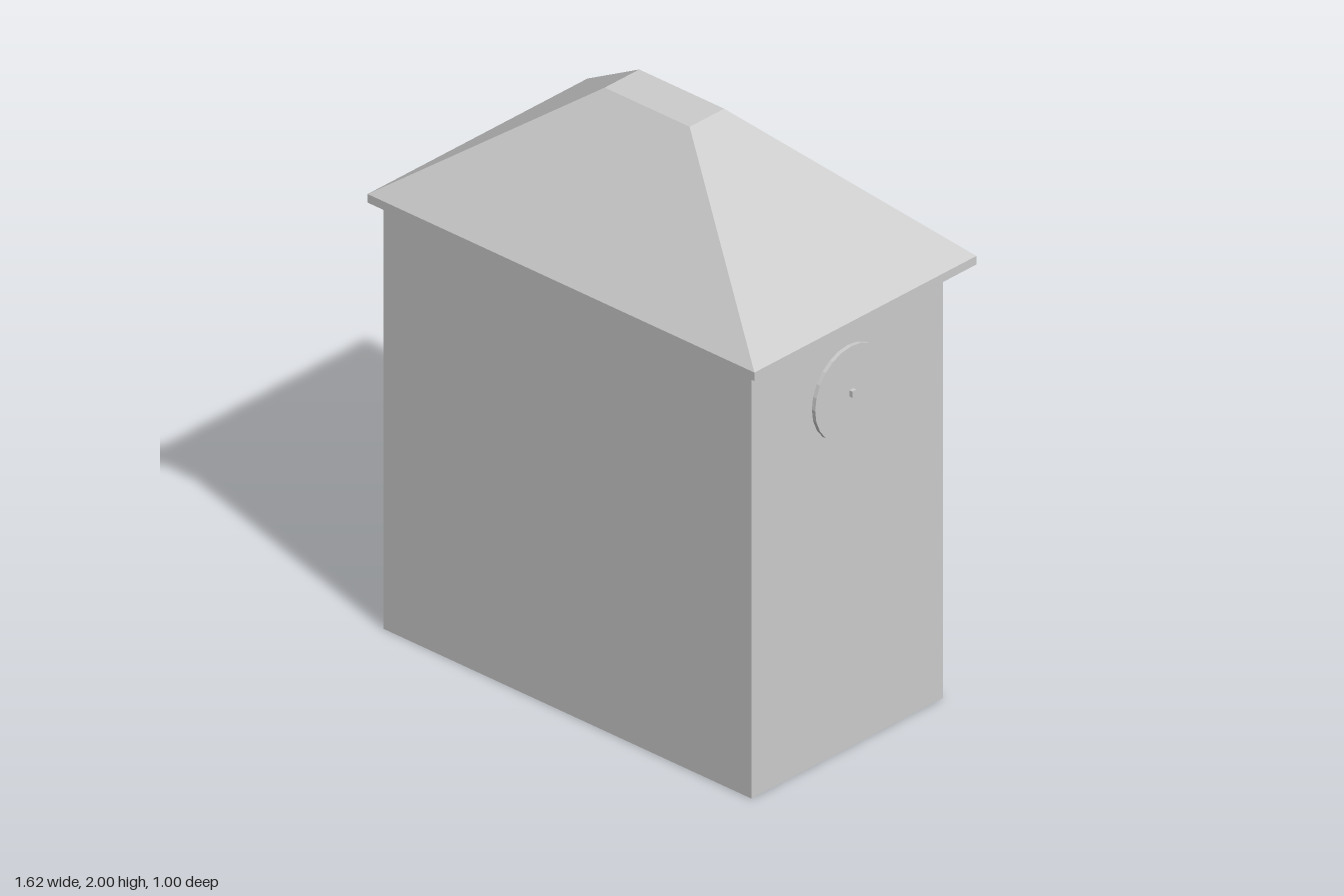
import * as THREE from 'three';

const material = new THREE.MeshStandardMaterial({ color: 0xcccccc, flatShading: true });

function add(parent, name, geometry, x = 0, y = 0, z = 0) {
  const mesh = new THREE.Mesh(geometry, material);
  mesh.name = name;
  mesh.position.set(x, y, z);
  parent.add(mesh);
  return mesh;
}

// Closed solid from rings of [x, z] points, counter-clockwise seen from above
function loft(rings) {
  const pos = [];
  const tri = (a, b, c) => {
    const area = new THREE.Triangle(a, b, c).getArea();
    if (area > 1e-7) for (const v of [a, b, c]) pos.push(v.x, v.y, v.z);
  };
  const loops = rings.map(({ y, points }) => points.map(([x, z]) => new THREE.Vector3(x, y, z)));
  const n = loops[0].length;
  for (let r = 0; r < loops.length - 1; r++) {
    const lo = loops[r], hi = loops[r + 1];
    for (let i = 0; i < n; i++) {
      const j = (i + 1) % n;
      tri(lo[i], lo[j], hi[j]);
      tri(lo[i], hi[j], hi[i]);
    }
  }
  const bottom = loops[0], top = loops[loops.length - 1];
  for (let i = 1; i < n - 1; i++) {
    tri(bottom[0], bottom[i + 1], bottom[i]);
    tri(top[0], top[i], top[i + 1]);
  }
  const g = new THREE.BufferGeometry();
  g.setAttribute('position', new THREE.Float32BufferAttribute(pos, 3));
  g.computeVertexNormals();
  return g;
}

export function createModel() {
  const model = new THREE.Group();
  model.name = 'tower';

  // Plain walls
  add(model, 'walls', new THREE.BoxGeometry(1.545, 1.515, 0.86), -0.0175, 0.7575, 0.02);

  // Hipped roof with a thin eave, a slightly uneven back edge and a flat top
  const eave = [[-0.815, 0.495], [0.81, 0.495], [0.81, -0.5], [-0.2, -0.5], [-0.49, -0.49], [-0.815, -0.49]];
  const crown = [[-0.182, 0.108], [0.175, 0.108], [0.175, -0.047], [-0.182, -0.047], [-0.182, -0.047], [-0.182, -0.047]];
  add(model, 'roof', loft([
    { y: 1.51, points: eave },
    { y: 1.54, points: eave },
    { y: 2, points: crown },
  ]));

  // Round dial on the left side wall, with a small centre pin
  const dial = new THREE.Group();
  dial.name = 'dial';
  dial.position.set(0.765, 1.26, 0.02);
  model.add(dial);
  add(dial, 'dialFace', new THREE.CylinderGeometry(0.162, 0.162, 0.014, 24).rotateZ(Math.PI / 2));
  add(dial, 'dialPin', new THREE.BoxGeometry(0.016, 0.022, 0.018), 0.012);

  return model;
}
